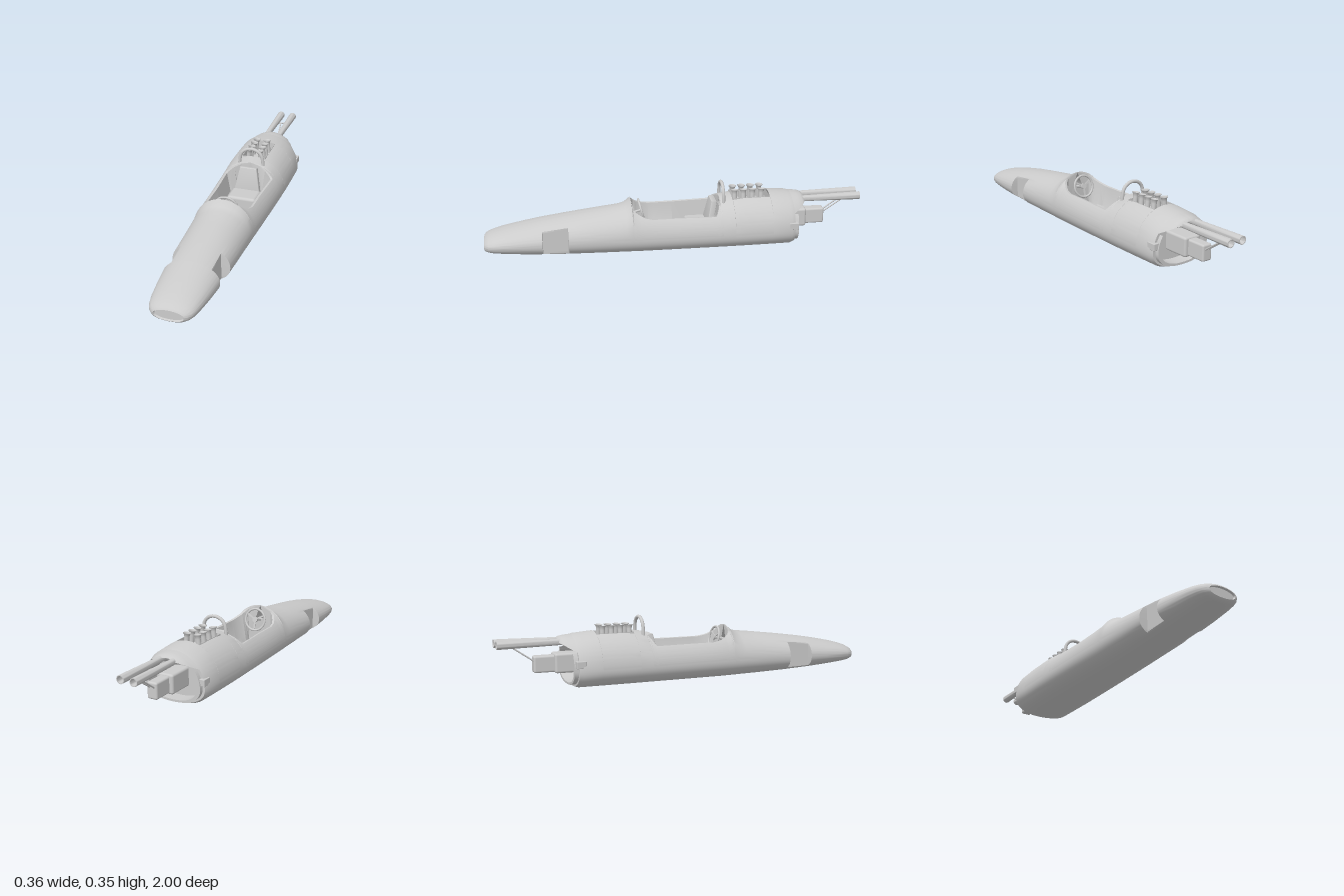
import * as THREE from 'three';
import { toCreasedNormals } from 'three/addons/utils/BufferGeometryUtils.js';
import { RoundedBoxGeometry } from 'three/addons/geometries/RoundedBoxGeometry.js';

const grey = new THREE.MeshStandardMaterial({ color: 0xcccccc, side: THREE.DoubleSide });
const V = (x, y, z) => new THREE.Vector3(x, y, z);

// Hull stations: z, half width, bottom, widest height, top
const HULL = [
  [1, .075, .05, .078, .105], [.993, .088, .043, .08, .115], [.975, .103, .038, .082, .124],
  [.95, .113, .034, .084, .133], [.9, .123, .029, .087, .147],
  [.8, .135, .021, .09, .168], [.7, .143, .015, .093, .186], [.57, .148, .009, .095, .205],
  [.4, .153, .004, .098, .227], [.3, .157, .002, .1, .238], [.265, .158, .001, .1, .248],
  [.235, .159, .001, .1, .275], [.2, .16, 0, .1, .262], [0, .168, 0, .1, .252],
  [-.22, .175, 0, .1, .262], [-.35, .178, 0, .1, .28], [-.5, .178, 0, .1, .28],
  [-.6, .177, 0, .1, .272], [-.62, .168, .008, .1, .268],
];
// Cockpit rim: z, height
const RIM = [[.235, 1], [.228, .25], [.215, .233], [.195, .219], [.17, .208], [.13, .2],
  [-.2, .2], [-.208, .21], [-.218, .23], [-.23, .253], [-.236, 1]];

function sample(table, z) {
  for (let i = 0; i < table.length - 1; i++) {
    const a = table[i], b = table[i + 1];
    if (z <= a[0] && z >= b[0]) {
      const t = (a[0] - z) / (a[0] - b[0]);
      return a.map((v, k) => v + (b[k] - v) * t);
    }
  }
  return null;
}

// Point on a hull section; a runs from -90 degrees (keel) to 90 (spine)
function sectionPoint([z, w, bottom, mid, top], a, side = 1) {
  const c = Math.max(0, Math.cos(a)), s = Math.sin(a);
  if (s >= 0) return V(side * w * c, mid + (top - mid) * s, z);
  const e = 2 / 2.3;
  return V(side * w * c ** e, mid - (mid - bottom) * (-s) ** e, z);
}
const angleAt = ([, , , mid, top], y) => Math.asin(Math.min(1, (y - mid) / (top - mid)));

// Where the hull section stops: at the spine, cockpit rim or engine opening
function upperAngle(s) {
  const rim = sample(RIM, s[0]);
  if (rim) return angleAt(s, Math.min(rim[1], s[4]));
  if (s[0] <= -.3 && s[0] >= -.5) return Math.acos(.065 / s[1]);
  return Math.PI / 2;
}

// Section from the right upper end, under the keel, to the left upper end
function sectionRow(s, end) {
  const half = [];
  for (let i = 0; i < 16; i++) half.push(-Math.PI / 2 * (1 - i / 16));
  for (let i = 0; i <= 24; i++) half.push(end * i / 24);
  return [...half.slice(1).reverse().map(a => sectionPoint(s, a, -1)), ...half.map(a => sectionPoint(s, a))];
}

// Surface through rows of points
function skin(rows, crease = .6) {
  const n = rows[0].length, index = [];
  for (let i = 0; i < rows.length - 1; i++) for (let j = 0; j < n - 1; j++) {
    const a = i * n + j, b = a + 1, c = a + n, d = c + 1;
    index.push(a, c, b, b, c, d);
  }
  const g = new THREE.BufferGeometry().setFromPoints(rows.flat());
  g.setIndex(index);
  return toCreasedNormals(g, crease);
}

export function createModel() {
  const model = new THREE.Group();
  const add = (name, geometry, x = 0, y = 0, z = 0, parent = model) => {
    const m = new THREE.Mesh(geometry, grey);
    m.name = name;
    m.position.set(x, y, z);
    parent.add(m);
    return m;
  };
  const box = (name, w, h, d, x, y, z, r = .006) =>
    add(name, new RoundedBoxGeometry(w, h, d, 2, r), x, y, z);
  const tube = (name, points, r, parent = model) =>
    add(name, new THREE.TubeGeometry(new THREE.CatmullRomCurve3(points), 24, r, 10), 0, 0, 0, parent);

  // Body shell with shallow nose intake, suspension notches, cockpit and engine openings
  const zs = [...HULL.map(s => s[0]), ...RIM.map(r => r[0]), .702, .635, .568, .48,
    .1, -.1, -.299, -.3, -.501];
  const stations = [...new Set(zs)].sort((a, b) => b - a);
  const shell = stations.map(z => {
    const s = sample(HULL, z), row = sectionRow(s, upperAngle(s));
    if (z <= .7 && z >= .57) row.forEach(p => { p.x = THREE.MathUtils.clamp(p.x, -.103, .103); });
    return row;
  });
  const intake = [[.99, .0005, .0775, .078, .0785], [.99, .07, .053, .078, .101]];
  add('bodyShell', skin([...intake.map(s => sectionRow(s, Math.PI / 2)), ...shell]));

  // Tail of the engine cover
  const tail = [[-.62, .168, .008, .1, .268, .195], [-.65, .156, 0, .1, .266, .21],
    [-.675, .146, 0, .1, .262, .225], [-.687, .135, 0, .1, .256, .232], [-.692, .12, 0, .1, .25, .236]];
  add('engineCoverTail', skin(tail.map(s => {
    const lo = angleAt(s, s[5]), row = [];
    for (let i = 0; i <= 32; i++) row.push(sectionPoint(s, lo + (Math.PI - 2 * lo) * i / 32));
    return row.map(p => {
      if (Math.abs(p.x) < 1e-6) p.x = 0;
      return p;
    });
  }).map(row => {
    // Reach over the spine to the right side
    const mid = (row.length - 1) / 2;
    return row.map((p, i) => i <= mid ? p : V(-row[row.length - 1 - i].x, p.y, p.z));
  })));

  // Cockpit lining with rim thickness and floor
  const lining = stations.filter(z => sample(RIM, z)).map(z => {
    const s = sample(HULL, z), p = sectionPoint(s, upperAngle(s)), inner = Math.max(0, p.x - .012);
    const left = [V(p.x, p.y, z), V(inner, p.y - .002, z), V(Math.max(.07, inner - .02), .09, z),
      V(.065, .045, z), V(0, .04, z)];
    return [...left, ...left.slice(0, -1).reverse().map(q => V(-q.x, q.y, z))];
  });
  add('cockpitLining', skin(lining, .4));
  box('rearBulkhead', .2, .18, .008, 0, .13, -.238, .003);
  box('frontBulkhead', .14, .16, .008, 0, .12, .24, .003);

  // Seat
  box('seatCushion', .16, .075, .12, 0, .095, -.12, .015);
  const back = new THREE.Shape([[-.065, 0], [.065, 0], [.042, .12], [-.042, .12]].map(p => new THREE.Vector2(...p)));
  const backMesh = add('seatBack', toCreasedNormals(new THREE.ExtrudeGeometry(back,
    { depth: .02, bevelSize: .006, bevelThickness: .006, bevelSegments: 3 }), .5), 0, .125, -.19);
  backMesh.rotation.x = -.2;

  // Steering wheel leaning forward at the top
  const wheel = new THREE.Group();
  wheel.name = 'steeringWheel';
  wheel.position.set(0, .208, .178);
  wheel.rotation.x = .25;
  model.add(wheel);
  add('wheelRim', new THREE.TorusGeometry(.058, .006, 10, 40), 0, 0, 0, wheel);
  add('wheelHub', new THREE.CylinderGeometry(.015, .015, .01, 20).rotateX(Math.PI / 2), 0, 0, 0, wheel);
  for (const a of [Math.PI / 6, Math.PI * 5 / 6, Math.PI * 1.5]) {
    add('wheelSpoke', new THREE.BoxGeometry(.05, .009, .004), Math.cos(a) * .032, Math.sin(a) * .032, 0, wheel).rotation.z = a;
  }
  add('steeringColumn', new THREE.CylinderGeometry(.006, .006, .07, 10).rotateX(Math.PI / 2), 0, 0, .035, wheel);

  // Roll hoop
  const hoop = [V(-.069, .22, -.25), V(-.064, .28, -.25)];
  for (let i = 1; i < 10; i++) {
    const a = Math.PI * (1 - i / 10);
    hoop.push(V(.062 * Math.cos(a), .285 + .054 * Math.sin(a), -.25));
  }
  hoop.push(V(.064, .28, -.25), V(.069, .22, -.25));
  add('rollHoop', new THREE.TubeGeometry(new THREE.CatmullRomCurve3(hoop), 60, .009, 12));

  // Engine tray, open on top
  const tray = new THREE.BoxGeometry(.13, .045, .2);
  tray.setIndex([...tray.index.array].filter((_, i) => i < 12 || i >= 18));
  add('engineTray', tray, 0, .2475, -.4);

  // Intake trumpets in two rows of four, leaning inward
  const trumpet = new THREE.LatheGeometry([[.013, 0], [.013, .05], [.015, .064], [.021, .07], [.019, .071],
    [.011, .062], [.009, .02], [0, .02]].map(p => new THREE.Vector2(...p)), 20);
  for (const side of [-1, 1]) for (let i = 0; i < 4; i++) {
    add('intakeTrumpet', trumpet, side * .037, .234, -.315 - i * .048).rotation.z = side * .1;
  }

  // Rear frame ring below the cover
  const rear = sample(HULL, -.62);
  const ring = [[1, -.62], [.92, -.62], [.92, -.642], [.8, -.642], [.8, -.57]].map(([k, z]) =>
    sectionRow(rear, .6).map(p => V(p.x * k, .1 + (p.y - .1) * k, z)));
  add('rearFrame', skin(ring, .4));
  const plate = new THREE.Shape(sectionRow(rear, Math.PI / 2).map(p => new THREE.Vector2(p.x * .98, .1 + (p.y - .1) * .98)));
  add('engineBulkhead', new THREE.ShapeGeometry(plate), 0, 0, -.572);

  // Gearbox
  box('gearboxHousing', .095, .1, .15, 0, .128, -.635, .012);
  box('gearboxTail', .056, .085, .13, 0, .126, -.748, .01);

  for (const side of [-1, 1]) {
    box('rearBracket', .03, .036, .05, side * .16, .135, -.61, .003);

    // Exhaust with a hollow tailpipe, headers and stay
    const exhaust = new THREE.Group();
    exhaust.name = 'exhaust';
    model.add(exhaust);
    const pipe = new THREE.LatheGeometry([[.015, .6], [.016, .7], [.021, .97], [.021, 1], [.017, 1], [.015, .9],
      [0, .9]].map(p => new THREE.Vector2(...p)), 24).rotateX(-Math.PI / 2);
    add('tailpipe', toCreasedNormals(pipe, .6), side * .036, .236, 0, exhaust);
    for (let i = 0; i < 4; i++) {
      tube('header', [V(side * (.045 + i * .022), .19 + (i % 2) * .025, -.57),
        V(side * (.045 + i * .012), .215 + (i % 2) * .012, -.62),
        V(side * .038, .235, -.69)], .009, exhaust);
    }
    tube('exhaustStay', [V(side * .012, .14, -.805), V(side * .014, .178, -.86), V(side * .016, .216, -.915)], .004, exhaust);
  }
  add('exhaustCrossbar', new THREE.CylinderGeometry(.004, .004, .05, 10).rotateZ(Math.PI / 2), 0, .218, -.915);

  return model;
}
